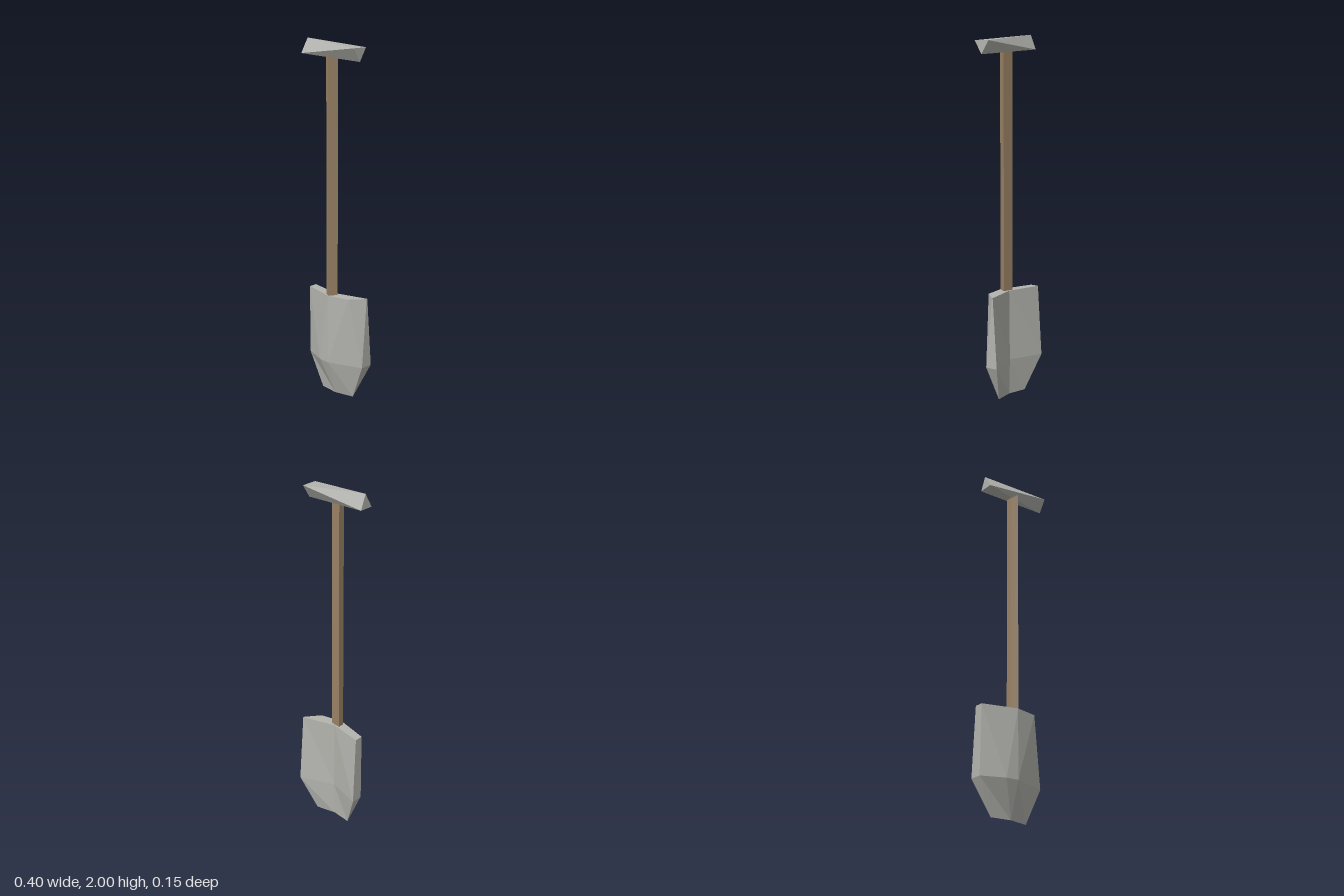
import * as THREE from 'three';

// Skin rings of 3D points (counter-clockwise seen from the last ring) with flat facets.
// capStart is the ring index from which the end caps are fanned.
function loft(rings, material, name, capStart = 0) {
  const pos = [];
  const n = rings[0].length;
  const tri = (a, b, c) => {
    const area = new THREE.Triangle(new THREE.Vector3(...a), new THREE.Vector3(...b), new THREE.Vector3(...c)).getArea();
    if (area > 1e-7) pos.push(...a, ...b, ...c);
  };
  for (let r = 0; r < rings.length - 1; r++) {
    const lo = rings[r], hi = rings[r + 1];
    for (let i = 0; i < n; i++) {
      const j = (i + 1) % n;
      tri(lo[i], lo[j], hi[i]);
      tri(lo[j], hi[j], hi[i]);
    }
  }
  const first = rings[0], last = rings[rings.length - 1];
  for (let k = 1; k < n - 1; k++) {
    const s = capStart, a = (s + k) % n, b = (s + k + 1) % n;
    tri(last[s], last[a], last[b]);
    tri(first[s], first[b], first[a]);
  }
  const geo = new THREE.BufferGeometry();
  geo.setAttribute('position', new THREE.Float32BufferAttribute(pos, 3));
  geo.computeVertexNormals();
  const mesh = new THREE.Mesh(geo, material);
  mesh.name = name;
  return mesh;
}

// Horizontal ring at height y from [x, z] pairs
const level = (y, pts) => pts.map(([x, z]) => [x, y, z]);
// Upright ring at x from [y, z] pairs
const slice = (x, pts) => pts.map(([y, z]) => [x, y, z]);

export function createModel() {
  const metal = new THREE.MeshStandardMaterial({ color: 0xb3b4ae });
  metal.name = 'grey metal';
  const wood = new THREE.MeshStandardMaterial({ color: 0x9b8366 });
  wood.name = 'brown wood';

  const group = new THREE.Group();
  group.name = 'shovel';

  // Blade: bulging front, hollow back, sharp lower edge
  group.add(loft([
    level(0, [[-0.115, -0.02], [0, 0], [0, 0], [0.115, -0.02], [0.115, -0.02], [0, 0], [-0.115, -0.02]]),
    level(0.2, [[-0.2, -0.005], [-0.07, 0.053], [0, 0.062], [0.2, 0], [0.2, -0.075], [0, -0.005], [-0.2, -0.075]]),
    level(0.595, [[-0.197, 0], [0, 0.062], [0.13, 0.04], [0.197, -0.04], [0.197, -0.045], [0, 0], [-0.197, -0.05]]),
  ], metal, 'blade', 5));

  // Shaft: rough four-sided pole
  const pole = [[0.004, 0.06], [0.03, 0.014], [-0.03, 0.002], [-0.03, 0.04]];
  group.add(loft([level(0.58, pole), level(1.93, pole)], wood, 'shaft'));

  // Grip: three-sided bar twisted between its ends
  group.add(loft([
    slice(-0.197, [[2, 0.007], [1.92, 0.057], [1.92, -0.028]]),
    slice(0.197, [[1.97, 0.075], [1.897, 0.028], [1.97, -0.02]]),
  ], metal, 'grip'));

  return group;
}
